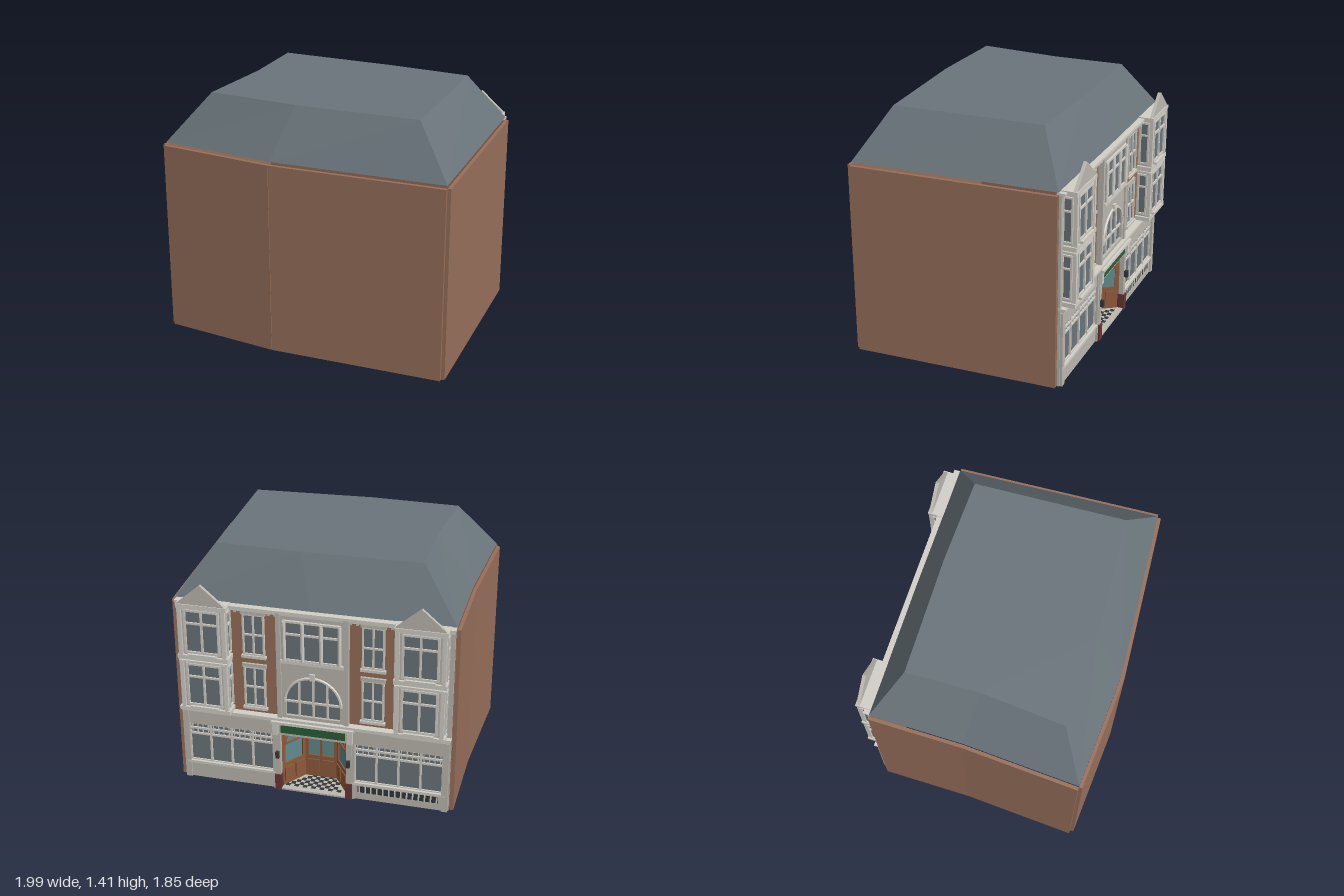
import * as THREE from 'three';

const mat = (color, side = THREE.FrontSide) => new THREE.MeshStandardMaterial({ color, side, flatShading: true });
const brick = mat(0x976f5a, THREE.DoubleSide), slate = mat(0x69747a, THREE.DoubleSide);
const stone = mat(0xbcb9b0), trim = mat(0xd2cfc7), glass = mat(0x6a757b), doorGlass = mat(0x5f8a8e);
const wood = mat(0x8e5a3a), green = mat(0x2c5c38), red = mat(0x6b3535), dark = mat(0x33383a);

function add(parent, name, geo, m, x = 0, y = 0, z = 0) {
  const mesh = new THREE.Mesh(geo, m);
  mesh.name = name;
  mesh.position.set(x, y, z);
  parent.add(mesh);
  return mesh;
}

// Box given by its centre x, bottom y and the depth range z0..z1
function box(parent, name, m, x, y, w, h, z0, z1) {
  return add(parent, name, new THREE.BoxGeometry(w, h, z1 - z0), m, x, y + h / 2, (z0 + z1) / 2);
}

function group(parent, name, x = 0, y = 0, z = 0, ry = 0) {
  const g = new THREE.Group();
  g.name = name;
  g.position.set(x, y, z);
  g.rotation.y = ry;
  parent.add(g);
  return g;
}

// Framed window on the plane z: cols lights, transom bars at fractions of the height
function windowUnit(parent, name, x, y, w, h, z, cols, bars, t = 0.012) {
  const g = group(parent, name, x, y, z);
  box(g, 'pane', glass, 0, 0, w, h, 0, 0.004);
  for (let i = 0; i <= cols; i++) box(g, 'mullion', trim, -w / 2 + (w * i) / cols, 0, t, h, 0, 0.014);
  for (const b of [0, ...bars, 1]) box(g, 'bar', trim, 0, h * b - t / 2, w + t, t, 0, 0.013);
  return g;
}

// Rectangular panel w x h with a round-headed opening of width ow from y0 to the springing
function archPanel(parent, name, m, w, h, ow, y0, spring, depth) {
  const s = new THREE.Shape([[-w / 2, 0], [w / 2, 0], [w / 2, h], [-w / 2, h]].map(p => new THREE.Vector2(...p)));
  const hole = new THREE.Path();
  hole.moveTo(-ow / 2, y0);
  hole.lineTo(-ow / 2, spring);
  hole.absarc(0, spring, ow / 2, Math.PI, 0, true);
  hole.lineTo(ow / 2, y0);
  hole.closePath();
  s.holes.push(hole);
  return add(parent, name, new THREE.ExtrudeGeometry(s, { depth, bevelEnabled: false, curveSegments: 20 }), m);
}

function archRim(parent, m, r, y, z, t) {
  add(parent, 'archMoulding', new THREE.TorusGeometry(r, t, 6, 24, Math.PI), m, 0, y, z);
}

// Plan corners: eaves and roof top in matching order
const eaves = [[-0.43, -0.86], [-0.66, -0.38], [-0.98, 0.2], [-0.4, 0.53], [0.515, 0.9], [0.97, -0.18], [0.28, -0.52]];
const crown = [[-0.31, -0.63], [-0.48, -0.25], [-0.72, 0.16], [-0.26, 0.4], [0.39, 0.67], [0.73, -0.12], [0.3, -0.345]];

function buildShell(root) {
  // Side and rear walls as outward slabs, open below
  for (let i = 0; i < 5; i++) {
    const [ax, az] = eaves[i], [bx, bz] = eaves[i + 1];
    const len = Math.hypot(bx - ax, bz - az);
    const g = group(root, 'wall', (ax + bx) / 2, 0, (az + bz) / 2, Math.atan2(-(bz - az), bx - ax));
    box(g, 'wallSlab', brick, 0, 0, len, 1.115, 0, 0.02);
  }
  // Hipped roof with a flat top
  const pos = [], n = eaves.length;
  const put = (p, y) => pos.push(p[0], y, p[1]);
  for (let i = 0; i < n; i++) {
    const j = (i + 1) % n;
    put(eaves[i], 1.13); put(eaves[j], 1.13); put(crown[j], 1.405);
    put(eaves[i], 1.13); put(crown[j], 1.405); put(crown[i], 1.405);
  }
  const tris = THREE.ShapeUtils.triangulateShape(crown.map(p => new THREE.Vector2(p[0], -p[1])), []);
  for (const t of tris) for (const k of t) put(crown[k], 1.405);
  const geo = new THREE.BufferGeometry();
  geo.setAttribute('position', new THREE.Float32BufferAttribute(pos, 3));
  geo.computeVertexNormals();
  add(root, 'roof', geo, slate);
}

function buildShop(f, s) {
  const g = group(f, 'shopfront', s * 0.485);
  box(g, 'stallRiser', stone, 0, 0, 0.53, 0.1, 0, 0.02);
  box(g, 'sill', trim, 0, 0.095, 0.54, 0.015, 0, 0.03);
  windowUnit(g, 'shopWindow', 0, 0.11, 0.5, 0.245, 0.002, 4, [0.72, 0.86]);
  for (let i = 0; i < 16; i++) box(g, 'topLightBar', trim, -0.235 + i * 0.0313, 0.287, 0.005, 0.065, 0, 0.012);
  box(g, 'fascia', stone, 0, 0.355, 0.54, 0.09, 0, 0.022);
  for (const e of [-1, 1]) box(g, 'pilaster', stone, e * 0.265, 0, 0.035, 0.44, 0, 0.03);
  // Vent grille in one riser
  if (s > 0) {
    box(g, 'vent', dark, 0, 0.045, 0.46, 0.04, 0.02, 0.022);
    for (let i = 0; i < 14; i++) box(g, 'ventBar', trim, -0.22 + i * 0.034, 0.045, 0.008, 0.04, 0.02, 0.026);
  }
}

function buildBay(f, s) {
  const g = group(f, 'bay', s * 0.605), hw = 0.13, d = 0.075;
  box(g, 'bayCore', stone, 0, 0.47, hw * 2, 0.645, 0, d);
  for (const y of [0.5, 0.825]) {
    windowUnit(g, 'bayWindow', 0, y + 0.02, 0.19, 0.25, d, 2, [0.7]);
    for (const e of [-1, 1]) {
      const side = group(g, 'baySide', e * hw, 0, d / 2, (e * Math.PI) / 2);
      windowUnit(side, 'baySideWindow', 0, y + 0.02, 0.05, 0.25, 0, 1, [0.7], 0.01);
      box(g, 'cornerPost', trim, e * 0.125, y, 0.022, 0.29, d - 0.012, d + 0.014);
    }
    box(g, 'baySill', trim, 0, y - 0.025, 0.29, 0.025, 0, d + 0.015);
    box(g, 'windowLedge', trim, 0, y, 0.165, 0.014, d, d + 0.027);
    box(g, 'bayHead', trim, 0, y + 0.278, 0.28, 0.014, 0, d + 0.012);
  }
  box(g, 'bayCornice', trim, 0, 1.112, 0.285, 0.02, 0, d + 0.015);
  // Triangular gable
  const tri = new THREE.Shape([[-0.14, 0], [0.14, 0], [0, 0.12]].map(p => new THREE.Vector2(...p)));
  add(g, 'gable', new THREE.ExtrudeGeometry(tri, { depth: 0.02, bevelEnabled: false }), stone, 0, 1.13, d - 0.01);
}

function buildBrickWindows(f, s) {
  const g = group(f, 'brickBay', s * 0.335);
  for (const y of [0.515, 0.835]) {
    windowUnit(g, 'sashWindow', 0, y, 0.115, 0.24, 0.001, 2, [0.5], 0.01);
    box(g, 'lintel', stone, 0, y + 0.24, 0.14, 0.022, 0, 0.014);
    box(g, 'windowSill', trim, 0, y - 0.02, 0.14, 0.016, 0, 0.022);
  }
}

function buildCentre(f) {
  const g = group(f, 'centrePavilion');
  // Arched first-floor window
  const arch = group(g, 'archWindow', 0, 0.47, 0);
  archPanel(arch, 'archSurround', stone, 0.4, 0.33, 0.31, 0.02, 0.105, 0.022);
  box(arch, 'archGlass', glass, 0, 0.02, 0.32, 0.25, 0, 0.006);
  archRim(arch, trim, 0.16, 0.105, 0.022, 0.009);
  box(arch, 'archTransom', trim, 0, 0.1, 0.31, 0.012, 0, 0.016);
  for (const x of [-0.08, 0, 0.08]) box(arch, 'archMullion', trim, x, 0.02, 0.012, x ? 0.215 : 0.24, 0, 0.015);
  box(arch, 'keystone', trim, 0, 0.255, 0.03, 0.04, 0, 0.034);
  // Three-light window above
  box(g, 'upperPanel', stone, 0, 0.8, 0.4, 0.315, 0, 0.022);
  windowUnit(g, 'tripleWindow', 0, 0.84, 0.31, 0.23, 0.023, 3, [0.68]);
  for (const x of [-0.155, -0.052, 0.052, 0.155]) {
    add(g, 'column', new THREE.CylinderGeometry(0.011, 0.011, 0.23, 10), trim, x, 0.955, 0.035);
  }
  box(g, 'upperSill', trim, 0, 0.818, 0.36, 0.018, 0, 0.038);
  for (const e of [-1, 1]) box(g, 'pavilionPier', stone, e * 0.19, 0.47, 0.025, 0.645, 0, 0.032);
}

function buildPorch(f) {
  const g = group(f, 'porch');
  const outline = new THREE.Shape([[-0.2, 0], [0.2, 0], [0.1, 0.15], [-0.1, 0.15]].map(p => new THREE.Vector2(...p)));
  for (const [name, y, m] of [['porchFloor', 0.008, stone], ['porchCeiling', 0.37, stone]]) {
    const geo = new THREE.ExtrudeGeometry(outline, { depth: 0.008, bevelEnabled: false });
    add(g, name, geo, m, 0, y - 0.008).rotation.x = -Math.PI / 2;
  }
  box(g, 'doorstep', stone, 0, 0, 0.38, 0.01, 0, 0.035);
  // Chequered tiles, narrowing towards the door
  for (let r = 0; r < 6; r++) {
    const n = Math.floor((0.2 - (r + 1) * 0.0167) / 0.025);
    for (let c = -n; c < n; c++) {
      if ((r + c) & 1) box(g, 'tile', dark, c * 0.025 + 0.0125, -0.001, 0.025, 0.011, -0.025 * (r + 1), -0.025 * r);
    }
  }
  // Door and two canted side lights
  const cant = Math.atan2(0.15, 0.1);
  const units = [['door', 0, -0.15, 0, 0.2], ['sideLight', -0.15, -0.075, cant, 0.18], ['sideLight', 0.15, -0.075, -cant, 0.18]];
  for (const [name, x, z, ry, w] of units) {
    const u = group(g, name, x, 0.008, z, ry), ow = w - 0.05;
    archPanel(u, 'archedFrame', wood, w, 0.354, ow, 0.14, 0.335 - ow / 2, 0.012);
    box(u, 'archedGlass', doorGlass, 0, 0.13, ow + 0.01, 0.21, -0.004, 0.004);
    archRim(u, wood, ow / 2, 0.335 - ow / 2, 0.012, 0.006);
    box(u, 'glazingBar', wood, 0, 0.262, ow, 0.01, 0, 0.014);
    for (const e of [-1, 1]) box(u, 'lowerPanel', wood, e * w * 0.22, 0.025, w * 0.36, 0.09, 0, 0.019);
    if (name === 'door') box(u, 'doorMeeting', wood, 0, 0, 0.014, 0.33, 0, 0.016);
  }
  // Jambs, plinths and lanterns
  for (const e of [-1, 1]) {
    box(g, 'jamb', stone, e * 0.205, 0, 0.03, 0.375, -0.02, 0.035);
    box(g, 'plinth', red, e * 0.205, 0, 0.038, 0.1, -0.02, 0.042);
    box(g, 'lantern', dark, e * 0.205, 0.215, 0.02, 0.04, 0.035, 0.055);
    box(g, 'bracket', trim, e * 0.215, 0.365, 0.03, 0.08, 0, 0.05);
  }
  box(g, 'signBack', stone, 0, 0.36, 0.42, 0.09, -0.01, 0.03);
  box(g, 'signBoard', green, 0, 0.378, 0.37, 0.055, 0.03, 0.038);
  box(g, 'signCornice', trim, 0, 0.44, 0.47, 0.016, 0, 0.06);
}

function buildFacade(root) {
  const f = group(root, 'facade', 0.27, 0, -0.52, Math.atan2(0.437, -0.9));
  // Brick front wall with the porch opening
  const pts = [[-0.775, 0], [-0.2, 0], [-0.2, 0.36], [0.2, 0.36], [0.2, 0], [0.775, 0], [0.775, 1.115], [-0.775, 1.115]];
  const s = new THREE.Shape(pts.map(p => new THREE.Vector2(...p)));
  add(f, 'frontWall', new THREE.ExtrudeGeometry(s, { depth: 0.02, bevelEnabled: false }), brick, 0, 0, -0.02);
  for (const e of [-1, 1]) {
    buildShop(f, e);
    buildBay(f, e);
    buildBrickWindows(f, e);
    box(f, 'endPier', stone, e * 0.758, 0, 0.03, 1.115, 0, 0.015);
  }
  buildCentre(f);
  buildPorch(f);
  box(f, 'shopCornice', trim, 0, 0.445, 1.54, 0.012, 0, 0.035);
  box(f, 'shopCorniceTop', trim, 0, 0.457, 1.55, 0.014, 0, 0.045);
  box(f, 'eavesCornice', trim, 0, 1.098, 1.54, 0.015, 0, 0.025);
  box(f, 'eavesCorniceTop', trim, 0, 1.112, 1.55, 0.014, -0.01, 0.035);
  for (let i = 0; i < 40; i++) box(f, 'dentil', stone, -0.74 + i * 0.038, 1.085, 0.014, 0.014, 0, 0.02);
}

export function createModel() {
  const root = new THREE.Group();
  root.name = 'cornerBuilding';
  buildShell(root);
  buildFacade(root);
  return root;
}
